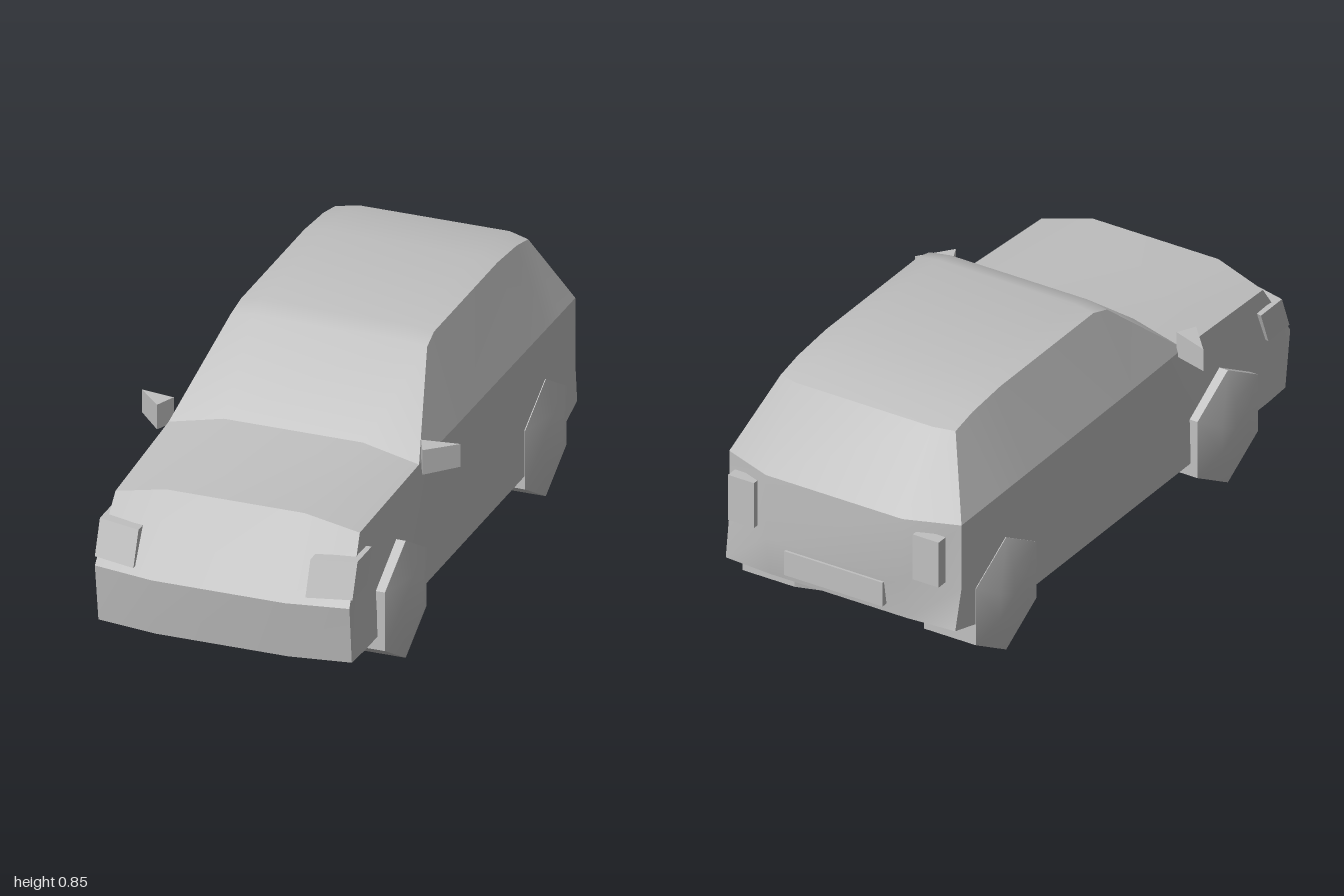
import * as THREE from 'three';
import { toCreasedNormals } from 'three/addons/utils/BufferGeometryUtils.js';

const CREASE = 0.5;

// Surface stretched over rows of [x, y, z] points
function surface(rows) {
  const pos = [];
  for (let i = 0; i < rows.length - 1; i++) {
    for (let j = 0; j < rows[i].length - 1; j++) {
      const a = rows[i][j], b = rows[i][j + 1], c = rows[i + 1][j + 1], d = rows[i + 1][j];
      pos.push(...a, ...b, ...c, ...a, ...c, ...d);
    }
  }
  const g = new THREE.BufferGeometry();
  g.setAttribute('position', new THREE.Float32BufferAttribute(pos, 3));
  g.computeVertexNormals();
  return toCreasedNormals(g, CREASE);
}

// Stations from front bumper to rear bumper: [midX, midY, midZ, edgeX, edgeY, edgeZ]
const STATIONS = [
  [0.22, 0.145, 0.97, 0.42, 0.145, 0.94],
  [0.22, 0.34, 1.0, 0.422, 0.34, 0.965],
  [0.23, 0.585, 0.855, 0.405, 0.54, 0.835],
  [0.23, 0.61, 0.37, 0.415, 0.565, 0.365],
  [0.25, 0.83, 0.075, 0.325, 0.82, 0.07],
  [0.25, 0.85, 0.0, 0.32, 0.84, 0.0],
  [0.25, 0.85, -0.53, 0.32, 0.84, -0.53],
  [0.25, 0.835, -0.7, 0.32, 0.826, -0.69],
  [0.25, 0.81, -0.81, 0.32, 0.805, -0.787],
  [0.25, 0.565, -0.982, 0.425, 0.565, -0.917],
  [0.25, 0.34, -0.982, 0.425, 0.34, -0.917],
  [0.25, 0.2, -0.957, 0.42, 0.2, -0.945],
];

export function createModel() {
  const model = new THREE.Group();
  const paint = new THREE.MeshStandardMaterial({ color: 0xc0c0c0, side: THREE.DoubleSide });
  paint.name = 'lightGrey';
  const add = (parent, name, geometry) => {
    const mesh = new THREE.Mesh(geometry, paint);
    mesh.name = name;
    parent.add(mesh);
    return mesh;
  };

  // Bumper, bonnet, windscreen, roof and tailgate, split at the hard folds
  const row = ([mx, my, mz, ex, ey, ez]) =>
    [[-ex, ey, ez], [-mx, my, mz], [mx, my, mz], [ex, ey, ez]];
  const panel = (name, from, to) =>
    add(model, name, surface(STATIONS.slice(from, to + 1).map(row)));
  panel('frontBumper', 0, 1);
  panel('frontFascia', 1, 2);
  panel('bonnet', 2, 3);
  panel('windscreenAndRoof', 3, 8);
  panel('rearWindow', 8, 9);
  panel('tailgate', 9, 11);

  // Body side: leaning upper strip above the belt line, upright lower strip below
  const edges = STATIONS.map((s) => s.slice(3));
  const upper = edges.slice(3, 10);
  const belt = upper.map(([, , z]) => [0.42 - z * 0.006, 0.565, z]);
  belt[0] = edges[3];
  belt[6] = edges[9];
  const lower = [edges[1], edges[2], ...belt, edges[10]];
  const sill = lower.map(([, , z]) => [0.425, 0.145, z]);
  sill[0] = edges[0];
  sill[8] = [0.425, 0.175, -0.84];
  sill[9] = edges[11];

  // Hexagonal wheel, open on the inner end, with a bevelled outer face
  const wheelShape = [[0.2, 0], [0.2, 0.19], [0.09, 0.22], [0, 0.22]]
    .map(([r, h]) => new THREE.Vector2(r, h));
  const wheel = toCreasedNormals(
    new THREE.LatheGeometry(wheelShape, 6, Math.PI / 2).rotateZ(-Math.PI / 2), CREASE);

  // Headlight block leaning back with the fascia and wrapping the corner
  const headlight = new THREE.BoxGeometry(0.142, 0.112, 0.12).translate(0.356, 0.421, 0);
  const p = headlight.attributes.position;
  for (let i = 0; i < p.count; i++) {
    const x = p.getX(i), y = p.getY(i);
    p.setZ(i, p.getZ(i) + 0.885 - (y - 0.478) * 0.38 - (x - 0.285) * 0.25);
  }
  headlight.computeVertexNormals();

  // Wedge-shaped door mirror
  const plan = [[0.41, 0.335], [0.44, 0.4], [0.528, 0.303], [0.41, 0.335]];
  const mirrorRing = (low) => plan.map(([x, z]) => [x, low ? 0.55 : 0.636 - (x - 0.41) * 0.07, z]);
  const mirrorTop = mirrorRing(false), mirrorBottom = mirrorRing(true);
  const cap = (r) => surface([[r[0], r[1]], [r[0], r[2]]]);

  for (const side of [1, -1]) {
    const half = new THREE.Group();
    half.name = side > 0 ? 'leftSide' : 'rightSide';
    half.scale.x = side;
    model.add(half);

    const rear2front = (a) => [...a].reverse();
    add(half, 'sidePanel', surface([upper, belt].map(rear2front)));
    add(half, 'lowerSidePanel', surface([lower, sill].map(rear2front)));
    add(half, 'frontWheel', wheel).position.set(0.26, 0.2, 0.565);
    add(half, 'rearWheel', wheel).position.set(0.237, 0.2, -0.665);
    add(half, 'headlight', headlight);
    add(half, 'mirrorBody', surface([mirrorTop, mirrorBottom]));
    add(half, 'mirrorTop', cap(mirrorTop));
    add(half, 'mirrorBottom', cap(mirrorBottom));
    add(half, 'tailLight', new THREE.BoxGeometry(0.095, 0.16, 0.04)).position.set(0.338, 0.445, -0.966);
  }

  // Rear number plate
  add(model, 'rearPlate', new THREE.BoxGeometry(0.36, 0.085, 0.03)).position.set(0, 0.275, -0.971);

  return model;
}
